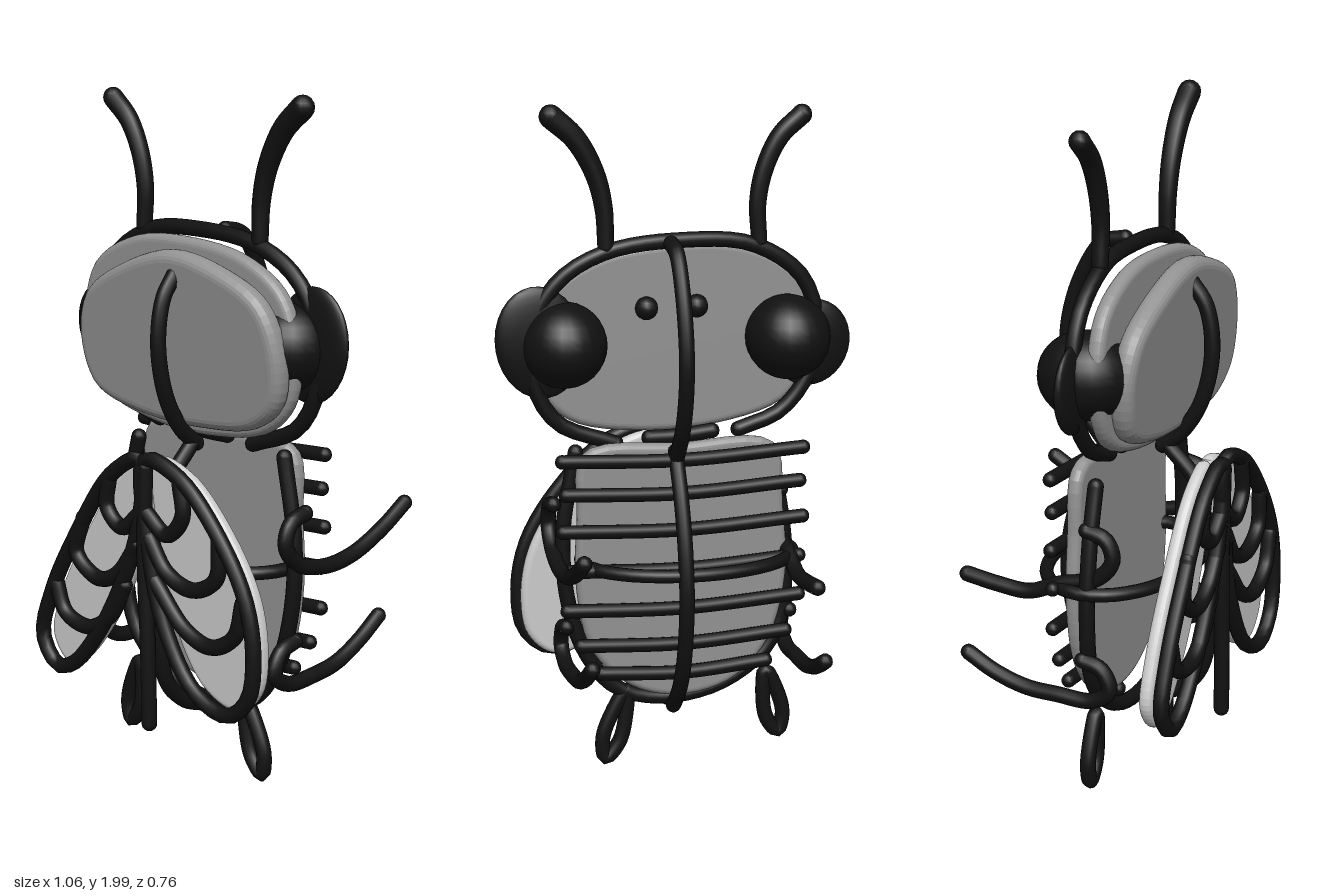
import * as THREE from 'three';

const BLACK = new THREE.MeshStandardMaterial({ color: 0x111111 });
const GREY = new THREE.MeshStandardMaterial({ color: 0x929292 });
const LIGHT = new THREE.MeshStandardMaterial({ color: 0xcccccc });
const R = 0.023;

function add(group, name, geometry, material) {
  const mesh = new THREE.Mesh(geometry, material);
  mesh.name = name;
  group.add(mesh);
  return mesh;
}

// Round-ended tube through points; the radius runs from r0 to r1
function stroke(group, name, pts, { closed = false, r0 = R, r1 = r0 } = {}) {
  const part = new THREE.Group();
  part.name = name;
  const curve = new THREE.CatmullRomCurve3(pts.map(p => new THREE.Vector3(...p)), closed, 'centripetal');
  const segs = 48, sides = 12;
  const geo = new THREE.TubeGeometry(curve, segs, 1, sides, closed);
  const pos = geo.attributes.position, v = new THREE.Vector3();
  for (let i = 0; i < pos.count; i++) {
    const t = Math.floor(i / (sides + 1)) / segs;
    const c = curve.getPointAt(t);
    v.fromBufferAttribute(pos, i).sub(c).multiplyScalar(r0 + (r1 - r0) * t).add(c);
    pos.setXYZ(i, v.x, v.y, v.z);
  }
  add(part, name + 'Tube', geo, BLACK);
  if (!closed) {
    [[0, r0], [1, r1]].forEach(([t, r]) => {
      add(part, name + 'End', new THREE.SphereGeometry(r, 12, 8), BLACK).position.copy(curve.getPointAt(t));
    });
  }
  group.add(part);
  return part;
}

// Flat 2D strokes lie in one plane of constant z; side strokes in one plane of constant x
const atZ = (z, pts) => pts.map(([x, y]) => [x, y, z]);
const atX = (x, pts) => pts.map(([z, y]) => [x, y, z]);

// Soft-edged panel from an outline, centred on z
function panel(group, name, pts, z, thickness, material) {
  const curve = new THREE.CatmullRomCurve3(pts.map(([x, y]) => new THREE.Vector3(x, y, 0)), true, 'centripetal');
  const shape = new THREE.Shape(curve.getPoints(64).slice(0, -1).map(p => new THREE.Vector2(p.x, p.y)));
  const b = thickness * 0.45;
  const geo = new THREE.ExtrudeGeometry(shape, {
    depth: thickness - 2 * b, bevelThickness: b, bevelSize: b, bevelOffset: -b, bevelSegments: 5,
  });
  geo.translate(0, 0, b - thickness / 2);
  const mesh = add(group, name, geo, material);
  mesh.position.z = z;
  return mesh;
}

function buildHead(g) {
  stroke(g, 'headOutline', atZ(0.09, [[-0.19, 1.03], [-0.32, 1.08], [-0.41, 1.2], [-0.43, 1.33], [-0.38, 1.48],
    [-0.23, 1.58], [-0.02, 1.6], [0.2, 1.575], [0.34, 1.5], [0.42, 1.37], [0.42, 1.2], [0.35, 1.08], [0.18, 1.01]]));
  stroke(g, 'neck', atZ(0.09, [[-0.11, 1.03], [0, 1.02], [0.08, 1.02]]));
  panel(g, 'backFacePanel', [[-0.43, 1.32], [-0.38, 1.48], [-0.22, 1.57], [0, 1.585], [0.22, 1.55], [0.36, 1.46],
    [0.41, 1.32], [0.39, 1.16], [0.3, 1.07], [0.1, 1.03], [-0.15, 1.04], [-0.34, 1.1], [-0.41, 1.2]], 0.15, 0.05, GREY);
  panel(g, 'frontFacePanel', [[-0.38, 1.28], [-0.34, 1.41], [-0.2, 1.5], [0, 1.56], [0.18, 1.53], [0.34, 1.45],
    [0.4, 1.32], [0.39, 1.17], [0.3, 1.09], [0.1, 1.06], [-0.15, 1.07], [-0.33, 1.13]], 0.21, 0.07, GREY)
    .geometry.translate(0, -1.31, 0).rotateX(0.08).translate(0, 1.31, 0);

  // Centre line seen from the side
  stroke(g, 'headFrontCurve', atX(0.025, [[0.24, 1.5], [0.29, 1.43], [0.31, 1.3], [0.28, 1.15], [0.22, 1.05], [0.16, 1]]));
  stroke(g, 'headBackCurve', atX(0.025, [[0.04, 1.6], [-0.03, 1.58], [-0.1, 1.47], [-0.14, 1.33], [-0.14, 1.22], [-0.1, 1.09], [-0.02, 0.98]]));

  // Flat eye with a dome behind it
  [[0.4, 1.32, 0.13, 0.165, -0.15, 0.33, 1.31], [-0.41, 1.28, 0.12, 0.13, 0.25, -0.34, 1.3]].forEach(([x, y, rx, ry, tilt, dx, dy]) => {
    const eye = add(g, 'eye', new THREE.SphereGeometry(1, 28, 16), BLACK);
    eye.scale.set(rx, ry, 0.028);
    eye.rotation.z = tilt;
    eye.position.set(x, y, 0.09);
    const dome = add(g, 'eyeDome', new THREE.SphereGeometry(0.125, 24, 16), BLACK);
    dome.scale.z = 1.1;
    dome.position.set(dx, dy, 0.09);
  });
  [0.08, -0.07].forEach(x => add(g, 'smallEye', new THREE.SphereGeometry(0.034, 14, 10), BLACK).position.set(x, 1.4, 0.115));

  // Antennae thicken towards the tip
  stroke(g, 'leftAntenna', atZ(0.09, [[0.205, 1.59], [0.21, 1.7], [0.235, 1.8], [0.29, 1.9], [0.36, 1.965]]), { r0: 0.024, r1: 0.034 });
  stroke(g, 'rightAntenna', atZ(0.09, [[-0.25, 1.59], [-0.245, 1.7], [-0.265, 1.8], [-0.31, 1.89], [-0.375, 1.95]]), { r0: 0.024, r1: 0.03 });
}

function buildBody(g) {
  panel(g, 'bodyPanel', [[-0.28, 1], [0, 1.015], [0.29, 1], [0.31, 0.8], [0.315, 0.6], [0.27, 0.4], [0.15, 0.28],
    [0, 0.24], [-0.16, 0.28], [-0.27, 0.4], [-0.32, 0.6], [-0.31, 0.8]], 0.03, 0.045, GREY);
  stroke(g, 'bodyOutline', atZ(0.09, [[-0.28, 0.96], [-0.32, 0.8], [-0.34, 0.6], [-0.32, 0.42], [-0.26, 0.32], [-0.12, 0.235],
    [0.06, 0.215], [0.19, 0.26], [0.28, 0.38], [0.33, 0.55], [0.34, 0.75], [0.3, 0.99]]));
  stroke(g, 'bodyBackCurve', atX(0.025, [[-0.01, 1], [-0.08, 0.87], [-0.13, 0.72], [-0.145, 0.57], [-0.11, 0.39], [-0.05, 0.28], [0.02, 0.21]]));
  stroke(g, 'bodyFrontCurve', atX(0.025, [[0.18, 1], [0.27, 0.9], [0.31, 0.75], [0.32, 0.55], [0.29, 0.33], [0.22, 0.25], [0.1, 0.205]]));

  // Girth ring round the body
  const ring = [];
  for (let i = 0; i < 16; i++) {
    const a = i / 16 * Math.PI * 2;
    ring.push([-0.03 + 0.32 * Math.cos(a), 0.66, 0.07 + 0.205 * Math.sin(a)]);
  }
  stroke(g, 'girthRing', ring, { closed: true, r0: 0.02 });

  // Stripes across the back
  [[0.99, 0.36], [0.89, 0.35], [0.78, 0.36], [0.66, 0.35], [0.54, 0.35], [0.43, 0.31], [0.34, 0.25]].forEach(([y, w]) =>
    stroke(g, 'backStripe', [[-w, y, -0.012], [0, y - 0.015, -0.015], [w, y, -0.012]], { r0: 0.021 }));
}

function buildLegs(g) {
  const upper = (x, end) => stroke(g, 'upperLeg', atX(x, [[0.08, 0.84], [0.14, 0.82], [0.16, 0.76], [0.11, 0.7], [0, 0.67], ...end]));
  const lower = (x, end) => stroke(g, 'lowerLeg', atX(x, [[0.08, 0.46], [0.14, 0.44], [0.165, 0.38], [0.11, 0.34], [0, 0.34], ...end]));
  upper(0.37, [[-0.12, 0.68], [-0.25, 0.73], [-0.355, 0.79]]);
  upper(-0.32, [[-0.1, 0.63], [-0.2, 0.635], [-0.3, 0.65]]);
  lower(0.335, [[-0.1, 0.355], [-0.2, 0.4], [-0.285, 0.455]]);
  lower(-0.35, [[-0.1, 0.345], [-0.2, 0.375], [-0.285, 0.42]]);

  // Leaf-shaped loops as feet
  const foot = (name, x, y, len, tilt) => {
    const h = len / 2;
    const loop = stroke(g, name, atZ(0, [[0, h], [0.022, 0.03], [0.026, -h * 0.5], [0, -h], [-0.026, -h * 0.5], [-0.022, 0.03]]), { closed: true });
    loop.position.set(x, y, 0.09);
    loop.rotation.z = tilt;
  };
  foot('leftFoot', 0.185, 0.14, 0.22, 0.3);
  foot('rightFoot', -0.3, 0.17, 0.2, -0.2);
}

function buildWing(g, side, outline, veins) {
  const wing = new THREE.Group();
  wing.name = side + 'Wing';
  stroke(wing, 'wingOutline', atZ(0.355, outline), { closed: true });
  veins.forEach(v => stroke(wing, 'wingVein', atZ(0.355, v)));
  panel(wing, 'wingPanel', outline, 0.303, 0.042, LIGHT);
  g.add(wing);
}

export function createModel() {
  const g = new THREE.Group();
  g.name = 'bee';
  buildHead(g);
  buildBody(g);
  buildLegs(g);
  buildWing(g, 'left',
    [[0.01, 0.98], [0.15, 0.95], [0.3, 0.81], [0.4, 0.65], [0.43, 0.5], [0.41, 0.37], [0.33, 0.305], [0.2, 0.35], [0.08, 0.53], [0.03, 0.72]],
    [[[0.15, 0.94], [0.16, 0.84], [0.1, 0.78], [0.02, 0.83]],
      [[0.3, 0.8], [0.29, 0.69], [0.2, 0.64], [0.1, 0.67], [0.03, 0.76]],
      [[0.39, 0.64], [0.36, 0.54], [0.27, 0.49], [0.17, 0.52], [0.05, 0.64]]]);
  buildWing(g, 'right',
    [[0, 0.98], [-0.12, 0.92], [-0.28, 0.7], [-0.38, 0.52], [-0.42, 0.38], [-0.36, 0.3], [-0.29, 0.32], [-0.18, 0.44], [-0.07, 0.63], [-0.01, 0.8]],
    [[[-0.13, 0.91], [-0.14, 0.82], [-0.08, 0.77], [0, 0.83]],
      [[-0.24, 0.77], [-0.27, 0.66], [-0.18, 0.6], [-0.1, 0.63], [-0.02, 0.73]],
      [[-0.36, 0.56], [-0.32, 0.47], [-0.22, 0.445], [-0.13, 0.5], [-0.07, 0.6]]]);
  // Small loop where the wings meet
  stroke(g, 'wingJoint', atZ(0.355, [[0.015, 0.96], [0.01, 0.7], [0.02, 0.45], [0.025, 0.21]]));
  return g;
}
